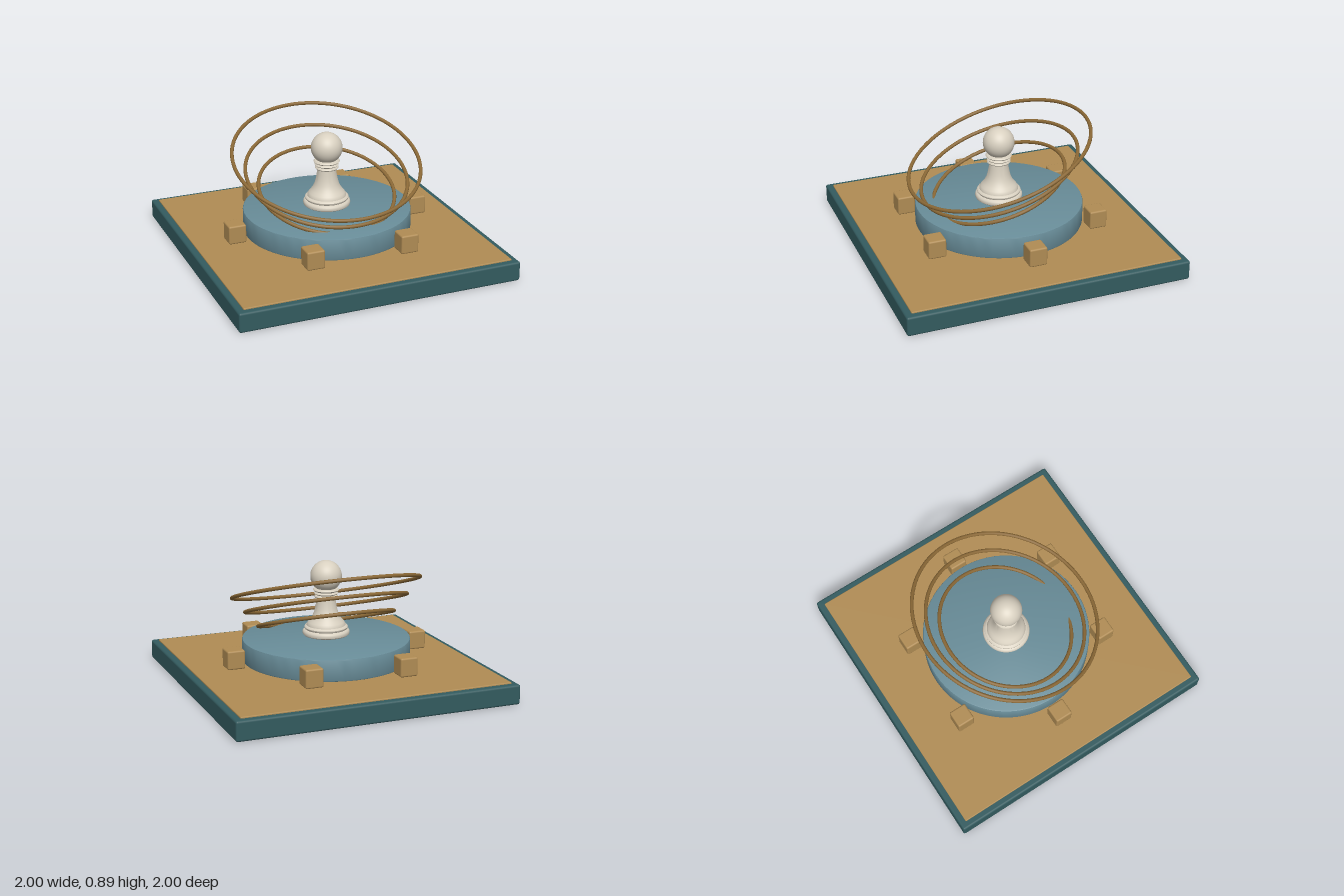
import * as THREE from 'three';
import { RoundedBoxGeometry } from 'three/addons/geometries/RoundedBoxGeometry.js';
import { toCreasedNormals } from 'three/addons/utils/BufferGeometryUtils.js';

const mat = (name, color) => {
  const m = new THREE.MeshStandardMaterial({ color });
  m.name = name;
  return m;
};

export function createModel() {
  const teal = mat('darkTeal', 0x335b5f);
  const tan = mat('tan', 0xb08c54);
  const blue = mat('slateBlue', 0x688c98);
  const bronze = mat('bronze', 0x8a6836);
  const ivory = mat('ivory', 0xd8d0c0);

  const model = new THREE.Group();
  model.name = 'pawnOnPedestal';
  const add = (name, geometry, material, x = 0, y = 0, z = 0) => {
    const mesh = new THREE.Mesh(geometry, material);
    mesh.name = name;
    mesh.position.set(x, y, z);
    model.add(mesh);
    return mesh;
  };
  const lathe = (points, segments) => toCreasedNormals(
    new THREE.LatheGeometry(points.map(([r, y]) => new THREE.Vector2(r, y)), segments), 0.6);

  // Square base with an inset top panel
  add('base', new RoundedBoxGeometry(2, 0.138, 2, 3, 0.015), teal, 0, 0.069, 0);
  add('topPanel', new RoundedBoxGeometry(1.91, 0.03, 1.91, 2, 0.006), tan, 0, 0.133, 0);

  // Round platform, hovering just above the panel
  add('platform', lathe([
    [0, 0.166], [0.58, 0.166], [0.587, 0.169], [0.59, 0.176],
    [0.59, 0.311], [0.587, 0.318], [0.58, 0.321], [0, 0.321],
  ], 72), blue);

  // Six blocks around the platform
  const block = new RoundedBoxGeometry(0.126, 0.132, 0.126, 3, 0.012);
  for (let i = 0; i < 6; i++) {
    const a = (i * Math.PI) / 3;
    add('block', block, tan, 0.682 * Math.cos(a), 0.235, 0.682 * Math.sin(a));
  }

  // Three tilted rings, growing upward and rising toward the back
  for (let i = 0; i < 3; i++) {
    const ring = add('ring', new THREE.TorusGeometry(0.479 + 0.09 * i, 0.013, 12, 96), bronze,
      0, 0.449 + 0.111 * i, 0);
    ring.rotation.x = Math.PI / 2 + 0.315;
  }

  // Pawn: turned foot, waisted stem and collars
  add('pawnBody', lathe([
    [0, 0.336], [0.155, 0.336], [0.163, 0.343], [0.166, 0.355], [0.163, 0.368], [0.155, 0.376],
    [0.146, 0.379], [0.152, 0.386], [0.153, 0.394], [0.147, 0.402], [0.136, 0.406],
    [0.134, 0.417], [0.126, 0.43], [0.112, 0.446], [0.098, 0.466], [0.085, 0.495],
    [0.076, 0.53], [0.069, 0.57], [0.066, 0.602],
    [0.078, 0.605], [0.083, 0.612], [0.078, 0.62], [0.068, 0.623],
    [0.078, 0.627], [0.084, 0.634], [0.078, 0.641], [0.07, 0.644],
    [0.085, 0.65], [0.092, 0.658], [0.085, 0.666], [0.06, 0.671], [0, 0.671],
  ], 48), ivory);
  add('pawnHead', new THREE.SphereGeometry(0.11, 40, 28), ivory, 0, 0.755, 0);

  return model;
}
